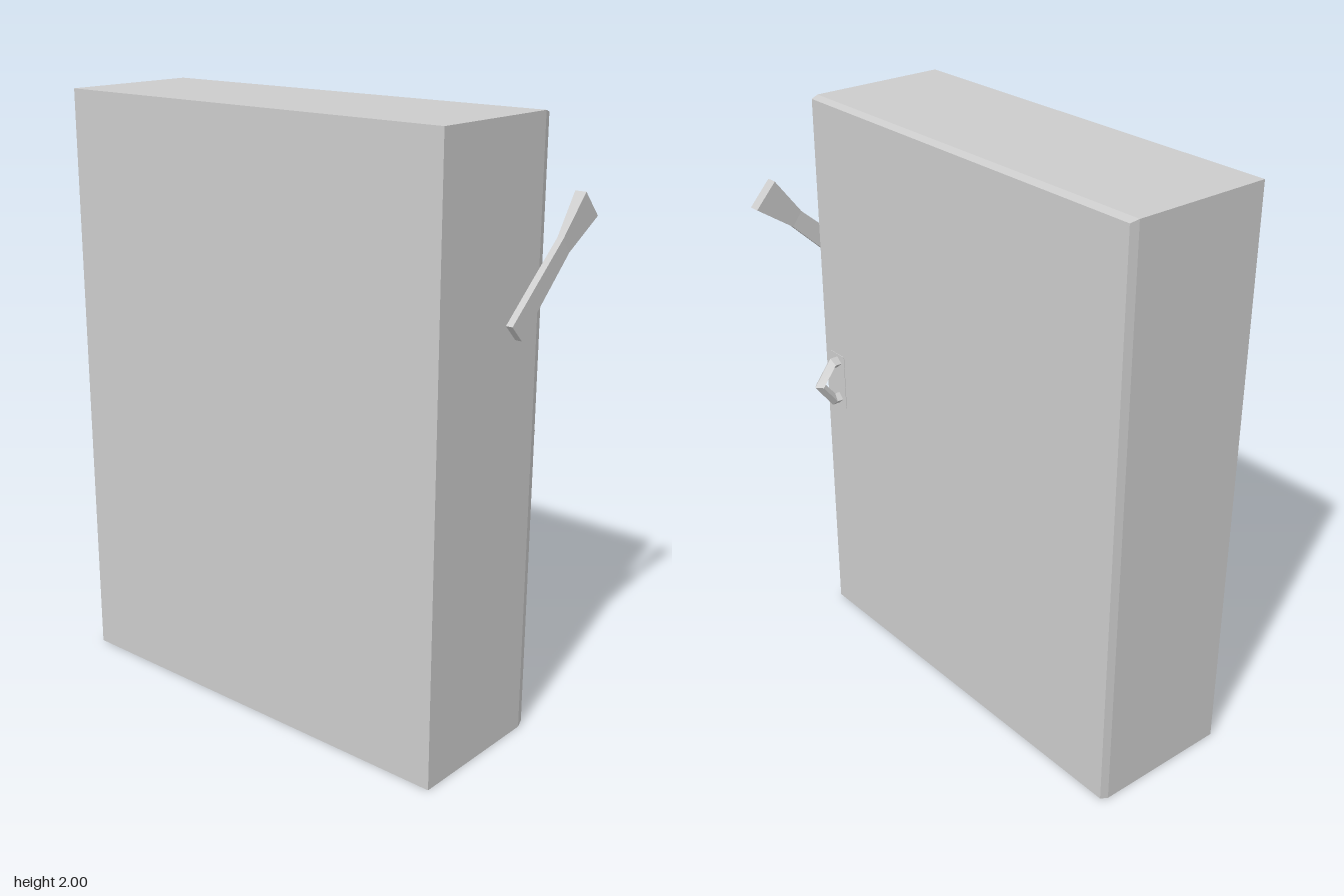
import * as THREE from 'three';

const material = new THREE.MeshStandardMaterial({ color: 0xcccccc, flatShading: true });

// Joins matching cross-sections into a closed, flat-shaded solid.
// Each ring runs counterclockwise about the direction of travel.
function loft(name, rings) {
  const pos = [];
  const tri = (a, b, c) => pos.push(...a, ...b, ...c);
  const n = rings[0].length;
  for (let i = 0; i < rings.length - 1; i++) {
    for (let j = 0; j < n; j++) {
      const k = (j + 1) % n;
      tri(rings[i][j], rings[i][k], rings[i + 1][k]);
      tri(rings[i][j], rings[i + 1][k], rings[i + 1][j]);
    }
  }
  const first = rings[0], last = rings[rings.length - 1];
  for (let j = 1; j < n - 1; j++) {
    tri(first[0], first[j + 1], first[j]);
    tri(last[0], last[j], last[j + 1]);
  }
  const geometry = new THREE.BufferGeometry();
  geometry.setAttribute('position', new THREE.Float32BufferAttribute(pos, 3));
  geometry.computeVertexNormals();
  const mesh = new THREE.Mesh(geometry, material);
  mesh.name = name;
  return mesh;
}

export function createModel() {
  const group = new THREE.Group();
  group.name = 'cabinet';

  // Slab body with a shallow bevel around its +x face
  const slab = (x, inset) => {
    const y0 = inset, y1 = 2 - inset, z0 = -0.767 + inset, z1 = 0.731 - inset;
    return [[x, y0, z0], [x, y1, z0], [x, y1, z1], [x, y0, z1]];
  };
  group.add(loft('body', [slab(-0.38, 0), slab(0.11, 0), slab(0.138, 0.008)]));

  // Flush plate behind the handle
  const plate = new THREE.Mesh(new THREE.BoxGeometry(0.01, 0.205, 0.08), material);
  plate.name = 'handlePlate';
  plate.position.set(0.135, 0.987, 0.652);
  group.add(plate);

  // Angular handle: diamond section following a pointed loop
  const handleZ = 0.652, halfWidth = 0.023;
  const outer = [[0.13, 1.08], [0.17, 1.08], [0.24, 0.987], [0.17, 0.895], [0.13, 0.895]];
  const inner = [[0.13, 1.038], [0.158, 1.038], [0.198, 0.987], [0.158, 0.937], [0.13, 0.937]];
  group.add(loft('handle', outer.map(([ox, oy], i) => {
    const [ix, iy] = inner[i];
    const mx = (ox + ix) / 2, my = (oy + iy) / 2;
    return [[ox, oy, handleZ], [mx, my, handleZ + halfWidth],
      [ix, iy, handleZ], [mx, my, handleZ - halfWidth]];
  })));

  // Sloping lever that flares towards its free end
  const section = (ax, ay, bx, by, z0, z1) =>
    [[ax, ay, z0], [ax, ay, z1], [bx, by, z1], [bx, by, z0]];
  group.add(loft('lever', [
    section(-0.055, 1.394, -0.003, 1.341, 0.73, 0.754),
    section(0.2, 1.616, 0.237, 1.568, 0.732, 0.754),
    section(0.3, 1.744, 0.375, 1.661, 0.725, 0.764),
  ]));

  return group;
}
